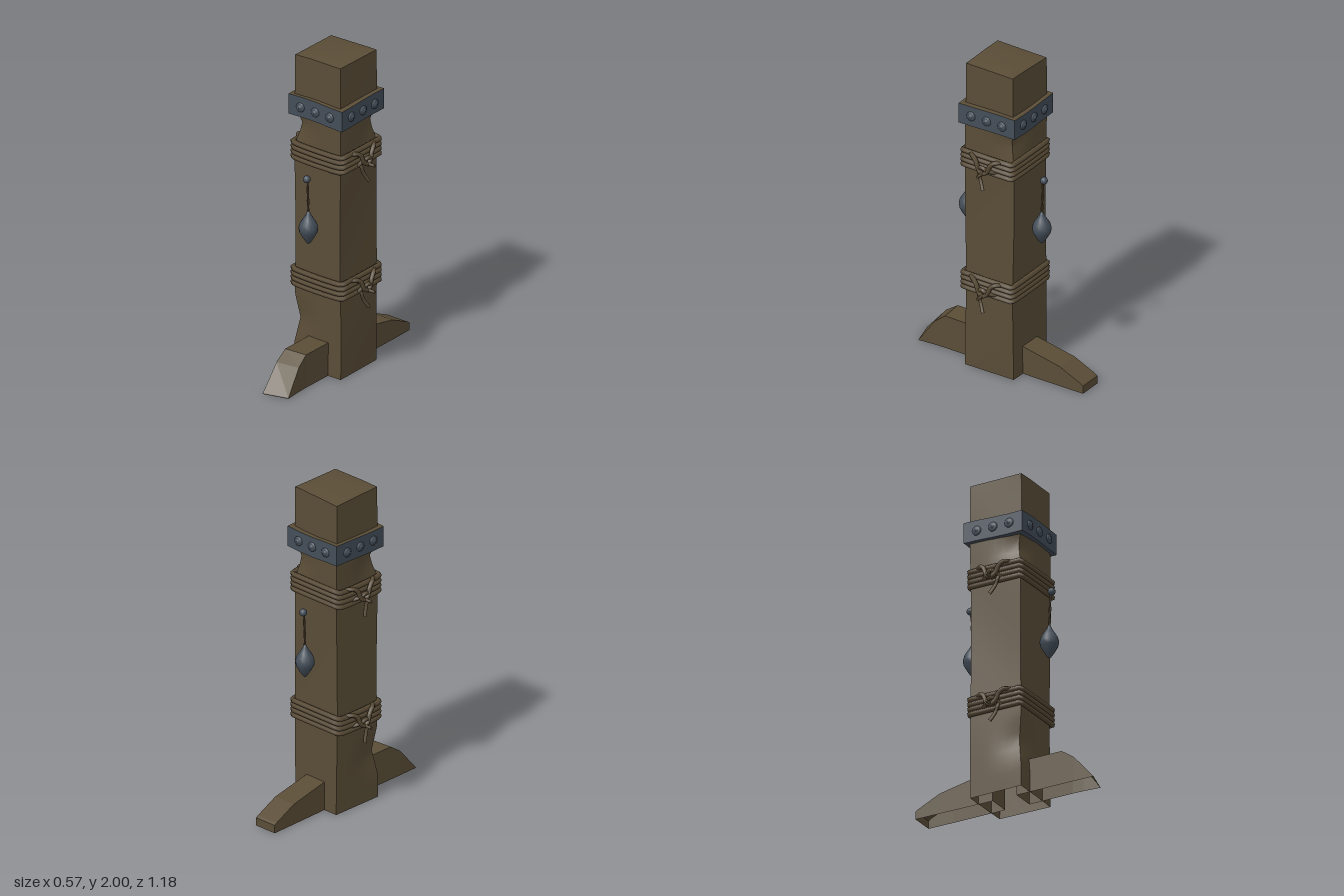
import * as THREE from 'three';

const wood = new THREE.MeshStandardMaterial({ color: 0x5a4d37, side: THREE.DoubleSide });
wood.name = 'wood';
const rope = new THREE.MeshStandardMaterial({ color: 0x584a35 });
rope.name = 'rope';
const iron = new THREE.MeshStandardMaterial({ color: 0x444e59 });
iron.name = 'iron';

function add(parent, name, geometry, material, x = 0, y = 0, z = 0) {
  const mesh = new THREE.Mesh(geometry, material);
  mesh.name = name;
  mesh.position.set(x, y, z);
  parent.add(mesh);
  return mesh;
}

function tube(points, radius, closed = false, segments = 16) {
  const curve = new THREE.CatmullRomCurve3(points.map(p => new THREE.Vector3(...p)), closed, 'centripetal');
  return new THREE.TubeGeometry(curve, segments, radius, 6, closed);
}

// Square post, open underneath, with worn corners
function postGeometry() {
  const geo = new THREE.BoxGeometry(0.335, 2, 0.335, 6, 40, 6);
  const index = Array.from(geo.index.array);
  index.splice(geo.groups[3].start, geo.groups[3].count);
  geo.setIndex(index);
  geo.clearGroups();
  // corner sign x, corner sign z, height, half height, depth
  const dents = [[-1, 1, 1.54, 0.13, 0.035], [1, -1, 1.54, 0.13, 0.03], [-1, 1, 0.3, 0.16, 0.025]];
  const p = geo.attributes.position;
  for (let i = 0; i < p.count; i++) {
    let x = p.getX(i), y = p.getY(i) + 1, z = p.getZ(i);
    const u = x / 0.1675, v = z / 0.1675;
    for (const [sx, sz, h, r, d] of dents) {
      const near = Math.max(0, 1 - Math.abs(y - h) / r);
      const corner = Math.max(0, (u * sx + v * sz) / 2 - 0.45) / 0.55;
      x -= sx * d * near * corner;
      z -= sz * d * near * corner;
    }
    x += 0.003 * Math.sin(y * 5 + v) * u - 0.004;
    z += 0.003 * Math.sin(y * 4 + 2 + u) * v - 0.002;
    // slightly uneven top
    if (y > 1.999) y -= 0.012 * Math.max(0, -u * 0.6 - v * 0.3 + 0.1) + 0.015 * Math.max(0, Math.max(Math.abs(u), Math.abs(v)) - 0.9) * 5;
    p.setXYZ(i, x, y, z);
  }
  geo.computeVertexNormals();
  return geo;
}

// Foot from sections [z at left, z at right, height, x left, x right], open underneath
function footGeometry(sections) {
  const pos = [];
  const rings = sections.map(([zl, zr, h, xl, xr]) => [[xl, 0, zl], [xl, h, zl], [xr, h, zr], [xr, 0, zr]]);
  const quad = (a, b, c, d) => pos.push(...a, ...b, ...c, ...a, ...c, ...d);
  for (let i = 0; i < rings.length - 1; i++) {
    const a = rings[i], b = rings[i + 1];
    for (let k = 0; k < 3; k++) quad(a[k], b[k], b[k + 1], a[k + 1]);
  }
  const first = rings[0], last = rings[rings.length - 1];
  quad(first[0], first[1], first[2], first[3]);
  quad(last[3], last[2], last[1], last[0]);
  const geo = new THREE.BufferGeometry();
  geo.setAttribute('position', new THREE.Float32BufferAttribute(pos, 3));
  geo.computeVertexNormals();
  return geo;
}

// Four rope turns with a knot and peg on both sides
function ropeBinding(y0) {
  const g = new THREE.Group();
  g.name = 'ropeBinding';
  const hx = 0.189, hz = 0.175, c = 0.025;
  for (let i = 0; i < 4; i++) {
    const y = y0 + 0.016 + i * 0.031;
    const pts = [];
    for (const [sx, sz, swap] of [[1, 1, 0], [-1, 1, 1], [-1, -1, 0], [1, -1, 1]]) {
      const a = [sx * hx, y + 0.003 * sx, sz * (hz - c)];
      const m = [sx * (hx - 0.006), y, sz * (hz - 0.006)];
      const b = [sx * (hx - c), y - 0.003 * sz, sz * hz];
      pts.push(...(swap ? [b, m, a] : [a, m, b]));
    }
    add(g, 'ropeTurn', tube(pts, 0.0165, true, 72), rope);
  }
  for (const s of [1, -1]) {
    const side = (name, pts, r) => add(g, name, tube(pts.map(([x, y, z]) => [s * x, y0 + y, z]), r), rope);
    side('knotLoop', [[0.19, 0.11, 0.11], [0.215, 0.112, 0.08], [0.226, 0.09, 0.05], [0.23, 0.045, 0.03],
      [0.236, 0.022, 0], [0.23, 0.045, -0.03], [0.226, 0.09, -0.05], [0.215, 0.112, -0.08], [0.19, 0.11, -0.11]], 0.014);
    side('knotCross', [[0.19, 0.03, -0.07], [0.222, 0.045, -0.035], [0.236, 0.065, 0], [0.222, 0.05, 0.03], [0.2, 0.02, 0.05]], 0.013);
    side('ropeTail', [[0.2, 0.04, 0.04], [0.217, 0.01, 0.037], [0.218, -0.025, 0.025], [0.226, -0.055, 0.01], [0.237, -0.085, -0.006]], 0.011);
    const peg = add(g, 'peg', new THREE.CylinderGeometry(0.009, 0.011, 0.11, 8), rope, s * 0.23, y0 + 0.026, 0);
    peg.rotation.z = -s * Math.PI / 2;
  }
  return g;
}

// Iron collar with three rivets on each side
function ironCollar() {
  const g = new THREE.Group();
  g.name = 'ironCollar';
  const band = new THREE.BoxGeometry(0.394, 0.128, 0.39, 4, 2, 4);
  const p = band.attributes.position;
  for (let i = 0; i < p.count; i++) {
    p.setY(i, p.getY(i) + 0.004 * Math.sin(p.getX(i) * 14 + p.getZ(i) * 11));
  }
  band.computeVertexNormals();
  add(g, 'collarBand', band, [iron, iron, wood, iron, iron, iron], -0.002, 1.675, -0.004);
  const rivet = new THREE.LatheGeometry(
    [[0.03, -0.004], [0.028, 0.006], [0.019, 0.01], [0.015, 0.008], [0.012, 0.014], [0, 0.018]].map(q => new THREE.Vector2(...q)), 12);
  rivet.rotateX(Math.PI / 2);
  for (let k = 0; k < 4; k++) {
    const face = new THREE.Group();
    face.name = 'rivetRow';
    face.rotation.y = k * Math.PI / 2;
    face.position.set(-0.002, 1.675, -0.004);
    for (const x of [-0.108, 0, 0.108]) add(face, 'rivet', rivet, iron, x, 0, k % 2 ? 0.197 : 0.195);
    g.add(face);
  }
  return g;
}

// Hanging weight: knob, twisted cord and drop
function pendant(s) {
  const g = new THREE.Group();
  g.name = s > 0 ? 'frontPendant' : 'backPendant';
  add(g, 'knob', new THREE.SphereGeometry(0.023, 12, 8), iron, 0, 1.278, s * 0.271);
  for (const t of [0, Math.PI]) {
    const pts = [];
    for (let i = 0; i <= 8; i++) {
      const a = i * 1.1 + t;
      pts.push([0.004 * Math.cos(a), 1.265 - i * 0.0262, s * (0.264 - i * 0.001) + 0.004 * Math.sin(a)]);
    }
    add(g, 'cord', tube(pts, 0.004, false, 20), rope);
  }
  const profile = [[0, 0.857], [0.012, 0.866], [0.034, 0.9], [0.053, 0.935], [0.057, 0.962], [0.049, 0.992],
    [0.03, 1.022], [0.014, 1.048], [0.008, 1.066], [0, 1.068]];
  add(g, 'drop', new THREE.LatheGeometry(profile.map(q => new THREE.Vector2(...q)), 14), iron, 0, 0, s * 0.256);
  return g;
}

export function createModel() {
  const model = new THREE.Group();
  model.name = 'woodenPost';
  add(model, 'post', postGeometry(), wood);
  add(model, 'frontFoot', footGeometry([
    [0.08, 0.08, 0.21, -0.072, 0.075], [0.38, 0.37, 0.21, -0.072, 0.073],
    [0.46, 0.44, 0.155, -0.072, 0.076], [0.59, 0.547, 0.003, -0.07, 0.085]]), wood);
  add(model, 'backFoot', footGeometry([
    [-0.59, -0.59, 0.05, -0.08, 0.068], [-0.575, -0.575, 0.06, -0.08, 0.068], [-0.43, -0.43, 0.128, -0.078, 0.07],
    [-0.17, -0.17, 0.18, -0.074, 0.07], [-0.08, -0.08, 0.19, -0.073, 0.07]]), wood);
  model.add(ironCollar(), ropeBinding(1.32), ropeBinding(0.51), pendant(1), pendant(-1));
  return model;
}
